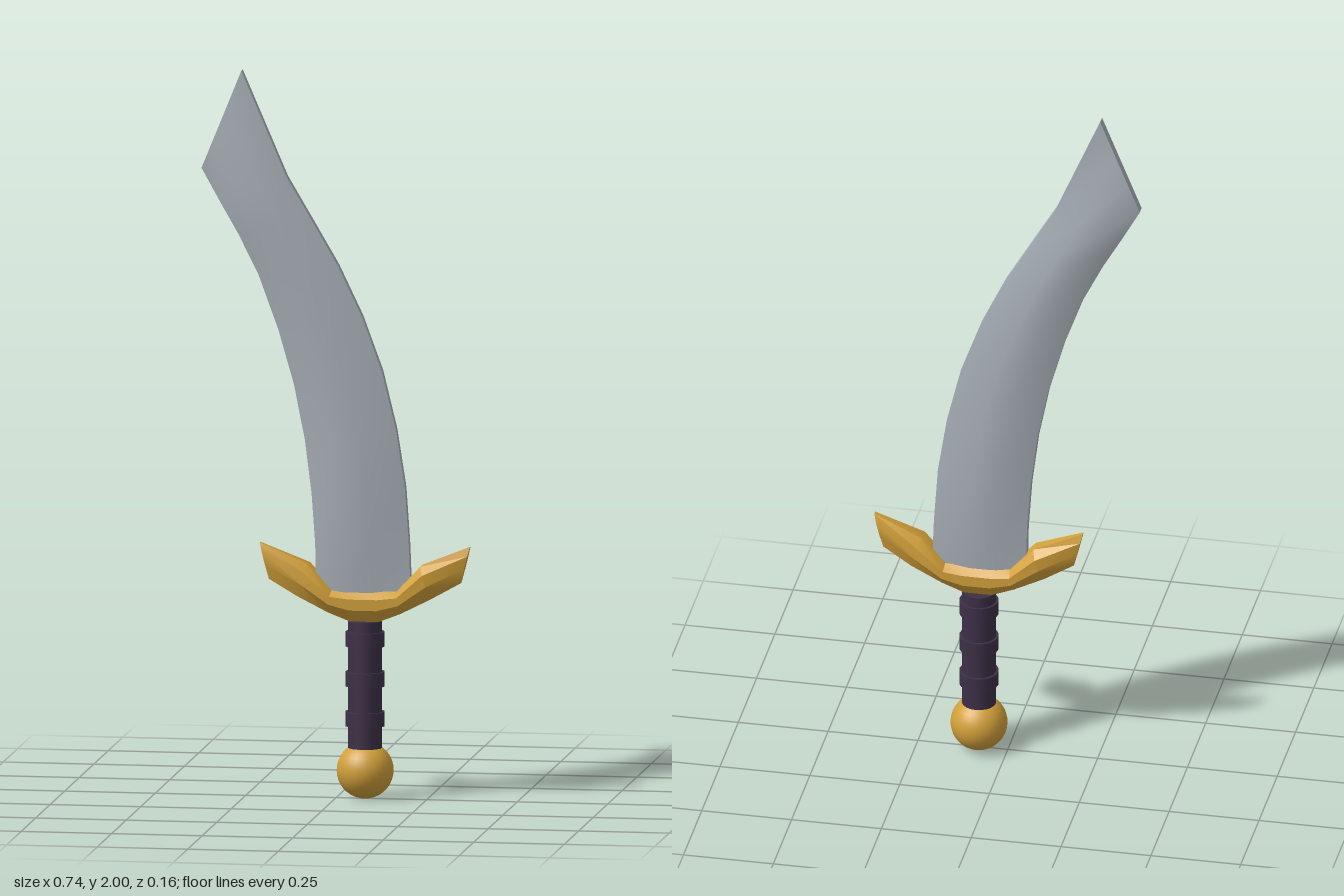
import * as THREE from 'three';
import { toCreasedNormals } from 'three/addons/utils/BufferGeometryUtils.js';

// Skin a row of matching rings of [x, y, z] points and cap both ends
function loft(rings, crease) {
  const n = rings[0].length, last = (rings.length - 1) * n, index = [];
  for (let i = 0; i < rings.length - 1; i++) {
    for (let j = 0; j < n; j++) {
      const a = i * n + j, b = i * n + (j + 1) % n;
      index.push(a, b, b + n, a, b + n, a + n);
    }
  }
  for (let j = 1; j < n - 1; j++) {
    index.push(0, j + 1, j, last, last + j, last + j + 1);
  }
  const g = new THREE.BufferGeometry();
  g.setAttribute('position', new THREE.Float32BufferAttribute(rings.flat(2), 3));
  g.setIndex(index);
  return toCreasedNormals(g, crease);
}

export function createModel() {
  const group = new THREE.Group();
  const material = (name, color) => {
    const m = new THREE.MeshStandardMaterial({ color });
    m.name = name;
    return m;
  };
  const steel = material('steel', 0xa9b0b8);
  const gold = material('gold', 0xd2a03a);
  const wrap = material('dark purple leather', 0x3d3047);
  const add = (name, geometry, mat, x = 0, y = 0) => {
    const mesh = new THREE.Mesh(geometry, mat);
    mesh.name = name;
    mesh.position.set(x, y, 0);
    group.add(mesh);
  };
  const cx = 0.08; // handle axis

  // Curved blade: inner edge x, y, outer edge x, y, half thickness
  const stations = [
    [-0.053, 0.56, 0.208, 0.56, 0.024],
    [-0.056, 0.70, 0.203, 0.70, 0.033],
    [-0.066, 0.84, 0.192, 0.86, 0.04],
    [-0.085, 0.99, 0.167, 1.02, 0.04],
    [-0.115, 1.14, 0.128, 1.18, 0.04],
    [-0.158, 1.29, 0.073, 1.33, 0.04],
    [-0.213, 1.44, 0.006, 1.47, 0.04],
    [-0.268, 1.55, -0.07, 1.60, 0.04],
    [-0.32, 1.64, -0.135, 1.71, 0.038],
    [-0.37, 1.73, -0.26, 2.0, 0.013],
  ];
  const edge = 0.013;
  const bladeRings = stations.map(([lx, ly, rx, ry, h]) => {
    const at = (t, z) => [lx + (rx - lx) * t, ly + (ry - ly) * t, z];
    return [at(0, edge), at(0.3, h), at(0.6, h), at(1, edge),
      at(1, -edge), at(0.6, -h), at(0.3, -h), at(0, -edge)];
  });
  add('blade', loft(bladeRings, 0.5), steel);

  // Winged guard: top offset, top y, bottom offset, bottom y, half thickness
  const wing = [
    [0.04, 0.575, 0.035, 0.488, 0.043],
    [0.09, 0.575, 0.10, 0.513, 0.043],
    [0.155, 0.645, 0.185, 0.556, 0.043],
    [0.29, 0.70, 0.265, 0.60, 0.014],
  ];
  const guardRing = ([tx, ty, bx, by, h], side) => {
    const at = (t, z) => [cx + side * (tx + (bx - tx) * t), ty + (by - ty) * t, z];
    const e = h * 0.45;
    return [at(0, -e), at(0, e), at(0.25, h), at(0.6, h),
      at(1, e), at(1, -e), at(0.6, -h), at(0.25, -h)];
  };
  const guardRings = [
    ...[...wing].reverse().map((w) => guardRing(w, -1)),
    ...wing.map((w) => guardRing(w, 1)),
  ];
  add('guard', loft(guardRings, 0.45), gold);

  // Grip with three raised bands
  add('grip', new THREE.CylinderGeometry(0.047, 0.047, 0.37, 20), wrap, cx, 0.305);
  [0.22, 0.33, 0.44].forEach((y, i) => {
    add(`gripBand${i + 1}`, new THREE.CylinderGeometry(0.054, 0.054, 0.04, 20), wrap, cx, y);
  });

  // Round pommel
  add('pommel', new THREE.SphereGeometry(0.078, 28, 18), gold, cx, 0.078);
  return group;
}
